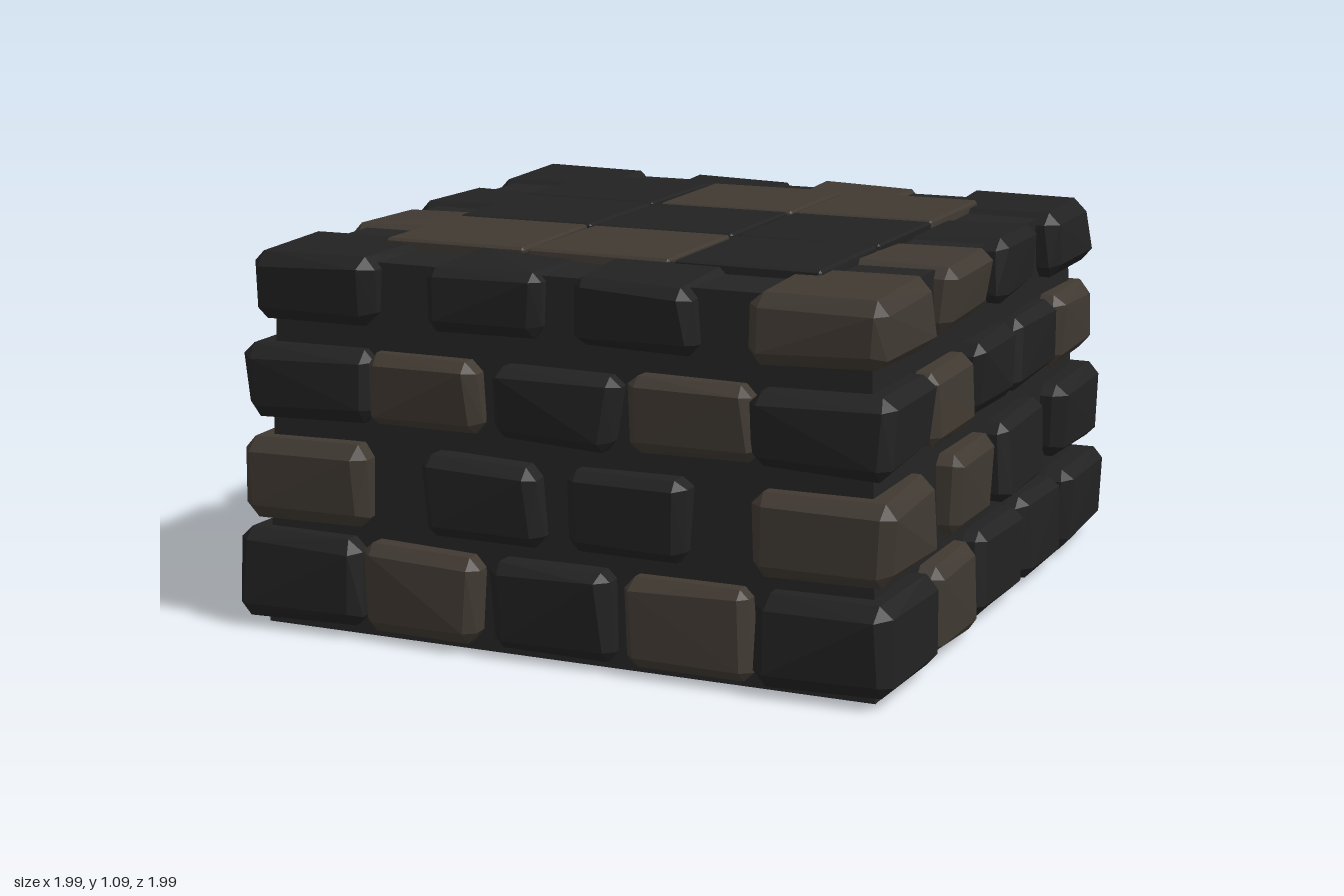
import * as THREE from 'three';
import { ConvexGeometry } from 'three/addons/geometries/ConvexGeometry.js';

export function createModel() {
  const model = new THREE.Group();
  model.name = 'stoneBlock';

  const material = (name, color) => {
    const m = new THREE.MeshStandardMaterial({ color });
    m.name = name;
    return m;
  };
  const mortar = material('mortar', 0x242424);
  const stones = { D: material('darkStone', 0x222222), B: material('brownStone', 0x403932) };

  // small seeded generator for the rough-hewn look
  let seed = 7;
  const rand = () => {
    seed = (seed * 16807) % 2147483647;
    return seed / 2147483647;
  };

  // chamfered stone between two corners, each corner nudged inwards a little
  function stone(name, min, max, bevel, rough, key) {
    const points = [];
    for (let i = 0; i < 8; i++) {
      const sign = [i & 1 ? 1 : -1, i & 2 ? 1 : -1, i & 4 ? 1 : -1];
      const corner = sign.map((s, a) => (s > 0 ? max[a] : min[a]) - s * rand() * rough[a]);
      for (let a = 0; a < 3; a++) {
        const p = corner.map((c, b) => (b === a ? c : c - sign[b] * bevel * (0.8 + 0.4 * rand())));
        points.push(new THREE.Vector3(...p));
      }
    }
    const mesh = new THREE.Mesh(new ConvexGeometry(points), stones[key]);
    mesh.name = name;
    return mesh;
  }

  // tapering core seen in the joints
  const coreGeometry = new THREE.BoxGeometry(2, 1.06, 2).translate(0, 0.53, 0);
  const pos = coreGeometry.attributes.position;
  for (let i = 0; i < pos.count; i++) {
    const half = pos.getY(i) > 0.5 ? 0.88 : 0.92;
    pos.setX(i, pos.getX(i) * half);
    pos.setZ(i, pos.getZ(i) * half);
  }
  coreGeometry.computeVertexNormals();
  const core = new THREE.Mesh(coreGeometry, mortar);
  core.name = 'core';
  model.add(core);

  // courses from the bottom up; colours are listed front, right, back, left
  const three = [[-0.6, -0.215], [-0.205, 0.195], [0.205, 0.59]];
  const two = [[-0.415, -0.03], [0.025, 0.415]];
  const courses = [
    { y: [0.02, 0.285], out: 1.0, spans: three, mids: ['BDB', 'BDD', 'BDD', 'DBD'], corners: 'DDDD' },
    { y: [0.31, 0.555], out: 0.985, spans: two, mids: ['DD', 'BD', 'BD', 'BD'], corners: 'BDDB' },
    { y: [0.6, 0.825], out: 0.97, spans: three, mids: ['BDB', 'BDD', 'BDD', 'DBD'], corners: 'DBBD' },
    { y: [0.88, 1.08], out: 0.955, spans: two, mids: ['DD', 'BD', 'BD', 'DB'], corners: 'BDDD' },
  ];
  ['front', 'right', 'back', 'left'].forEach((side, k) => {
    const wall = new THREE.Group();
    wall.name = side + 'Wall';
    wall.rotation.y = k * Math.PI / 2;
    for (const { y, out, spans, mids, corners } of courses) {
      spans.forEach(([x0, x1], i) => wall.add(stone('wallStone',
        [x0, y[0], 0.6], [x1, y[1], out - 0.005], 0.03, [0.03, 0.015, 0.025], mids[k][i])));
      const inner = out - 0.42;
      wall.add(stone('cornerStone',
        [inner, y[0], inner], [out, y[1], out], 0.035, [0.02, 0.012, 0.02], corners[k]));
    }
    model.add(wall);
  });

  // paving slabs on top, back row first
  ['DBB', 'DDD', 'BBD'].forEach((row, j) => {
    [...row].forEach((key, i) => {
      const slab = stone('pavingSlab', [-0.219, 0, -0.219], [0.219, 0.06, 0.219], 0.007, [0.008, 0.001, 0.008], key);
      slab.position.set((i - 1) * 0.446, 1.029, (j - 1) * 0.446);
      slab.rotation.y = (rand() - 0.5) * 0.02;
      model.add(slab);
    });
  });

  return model;
}
